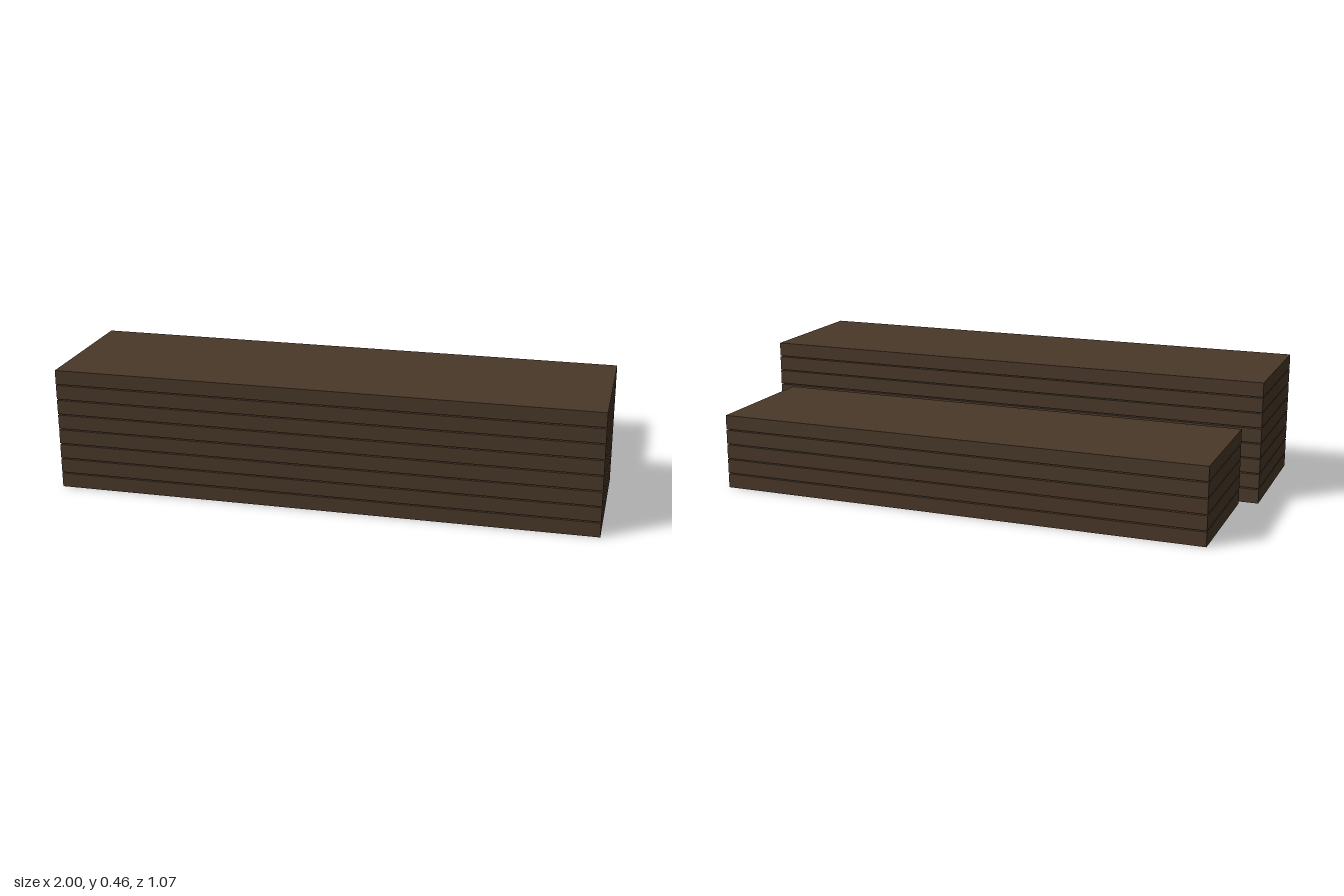
import * as THREE from 'three';

const THICKNESS = 0.0535;
const PITCH = 0.0578;

// Stack of identical boards with thin gaps between the layers
function boardStack(name, count, width, zBack, zFront, material) {
  const stack = new THREE.Group();
  stack.name = name;
  const geometry = new THREE.BoxGeometry(width, THICKNESS, zFront - zBack);
  for (let i = 0; i < count; i++) {
    const board = new THREE.Mesh(geometry, material);
    board.name = `board${i + 1}`;
    board.position.set(0, THICKNESS / 2 + i * PITCH, (zBack + zFront) / 2);
    stack.add(board);
  }
  return stack;
}

export function createModel() {
  const wood = new THREE.MeshStandardMaterial({ color: 0x4a3829 });
  wood.name = 'darkWood';

  const model = new THREE.Group();
  model.name = 'stackedBoards';
  model.add(
    boardStack('tallFrontStack', 8, 2, 0.001, 0.533, wood),
    boardStack('lowBackStack', 5, 1.865, -0.533, -0.023, wood),
  );
  return model;
}
